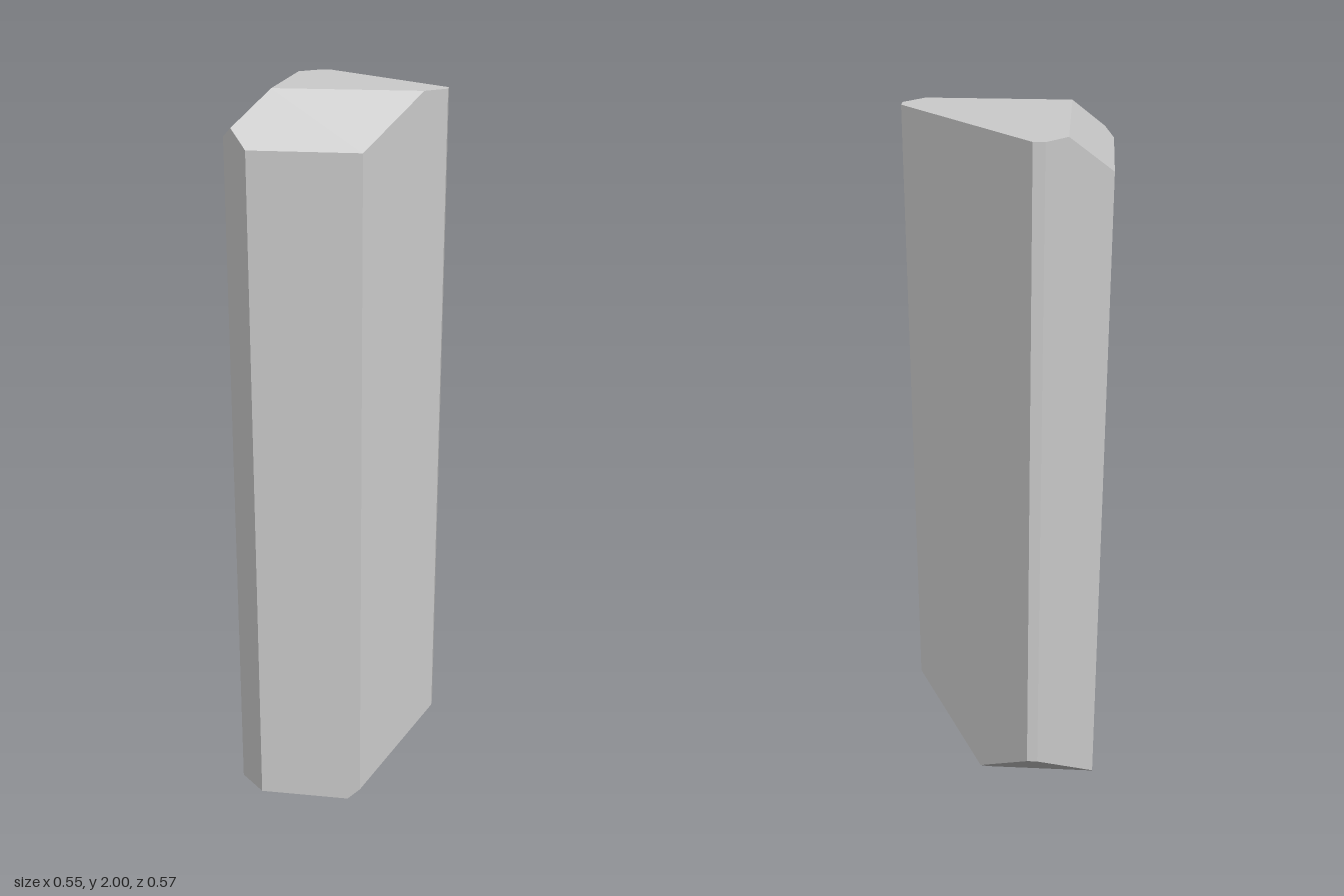
import * as THREE from 'three';
import { ConvexGeometry } from 'three/addons/geometries/ConvexGeometry.js';

// Facets of the crystal: each [nx, ny, nz, d] keeps the points with n . p <= d
const facets = [
  // sides
  [0, 0, 1, 0.284], [0, 0, -1, 0.286], [1, 0, 0, 0.273], [-1, 0, 0, 0.275],
  // slanted sides and corner bevels
  [1, 0, -1, 0.206], [1, 0, 1, 0.37], [-1, 0, 1, 0.488], [-1, 0, -1, 0.396],
  // flat top with its front and side cuts
  [0, 1, 0, 2], [0, 1, 1, 2.151], [-1, 1, 0, 2.163],
  // flat bottom with its side and back cuts
  [0, -1, 0, 0], [1, -1, 0, 0.05], [0, -1, -1, 0.115],
].map(([x, y, z, d]) => ({ n: new THREE.Vector3(x, y, z), d }));

// Corners are the points where three facets meet inside all the others
function corners(planes) {
  const found = new Map();
  const count = planes.length;
  for (let i = 0; i < count; i++)
    for (let j = i + 1; j < count; j++)
      for (let k = j + 1; k < count; k++) {
        const [a, b, c] = [planes[i], planes[j], planes[k]];
        const bc = b.n.clone().cross(c.n);
        const det = a.n.dot(bc);
        if (Math.abs(det) < 1e-6) continue;
        const p = bc.multiplyScalar(a.d)
          .addScaledVector(c.n.clone().cross(a.n), b.d)
          .addScaledVector(a.n.clone().cross(b.n), c.d)
          .divideScalar(det);
        if (planes.every(({ n, d }) => n.dot(p) <= d + 1e-6))
          found.set(p.toArray().map((v) => Math.round(v * 1e4)).join(), p);
      }
  return [...found.values()];
}

export function createModel() {
  const group = new THREE.Group();
  group.name = 'crystal';

  const shard = new THREE.Mesh(
    new ConvexGeometry(corners(facets)),
    new THREE.MeshStandardMaterial({ color: 0xcccccc, flatShading: true }),
  );
  shard.name = 'crystalShard';
  group.add(shard);
  return group;
}
